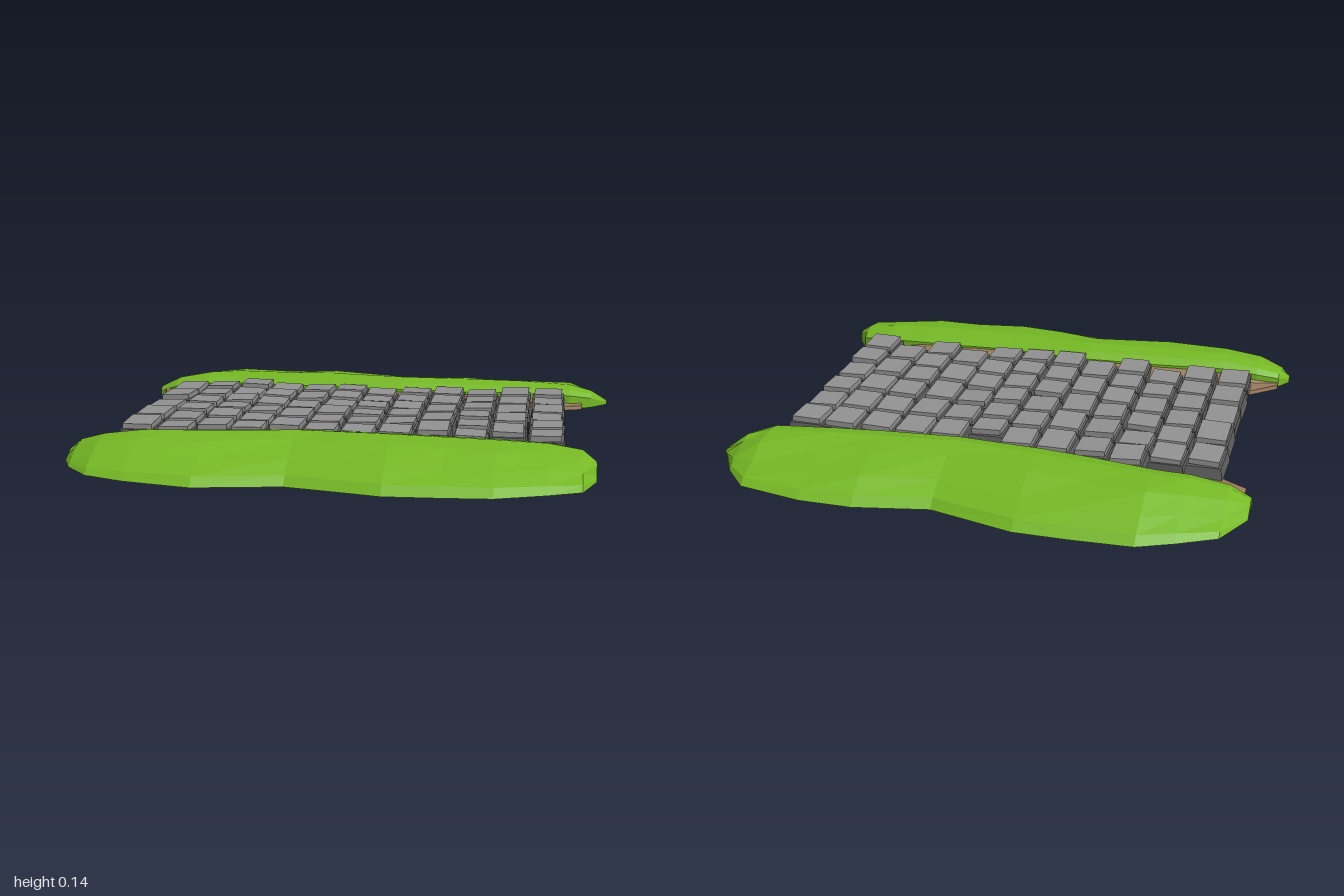
import * as THREE from 'three';

let seed = 7;
const rand = () => (seed = (seed * 16807) % 2147483647) / 2147483647;
const jitter = (a) => (rand() * 2 - 1) * a;

const grass = new THREE.MeshStandardMaterial({ color: 0x75b824, name: 'grass green' });
const dirt = new THREE.MeshStandardMaterial({ color: 0x987a5a, name: 'dirt brown' });
const stone = new THREE.MeshStandardMaterial({ color: 0x929292, name: 'stone grey' });
const darkStone = new THREE.MeshStandardMaterial({ color: 0x626262, name: 'dark stone grey' });

function facet(geometry) {
  const g = geometry.index ? geometry.toNonIndexed() : geometry;
  g.computeVertexNormals();
  return g;
}

// Closed skin over rings of [x, y, z] points running along +x
function loft(rings) {
  const n = rings[0].length, last = rings.length - 1, pos = [];
  const tri = (a, b, c) => pos.push(...a, ...b, ...c);
  for (let i = 0; i < last; i++) {
    for (let j = 0; j < n; j++) {
      const k = (j + 1) % n, A = rings[i], B = rings[i + 1];
      tri(A[j], B[j], B[k]);
      tri(A[j], B[k], A[k]);
    }
  }
  for (let j = 1; j < n - 1; j++) {
    tri(rings[0][0], rings[0][j], rings[0][j + 1]);
    tri(rings[last][0], rings[last][j + 1], rings[last][j]);
  }
  const g = new THREE.BufferGeometry();
  g.setAttribute('position', new THREE.Float32BufferAttribute(pos, 3));
  return facet(g);
}

// Grass stations: [x, inner distance, outer distance, crest height]
const frontBank = [
  [-1, .6, .67, .05], [-.96, .54, .76, .085], [-.87, .515, .85, .11], [-.72, .51, .89, .13],
  [-.47, .485, .93, .132], [-.15, .465, .87, .137], [.02, .475, .91, .138], [.2, .49, .955, .14],
  [.4, .49, .95, .134], [.58, .495, .945, .13], [.76, .505, .895, .122], [.88, .53, .86, .105], [.93, .61, .72, .07],
];
const backBank = [
  [-.98, .58, .7, .06], [-.9, .555, .85, .1], [-.76, .55, .91, .125], [-.63, .55, .96, .132],
  [-.4, .51, .96, .135], [-.2, .49, .955, .14], [.12, .465, .865, .137], [.4, .47, .92, .132],
  [.6, .485, .92, .128], [.84, .5, .88, .115], [.93, .55, .78, .09], [1, .63, .655, .04],
];

// Dirt stations: [x, inner distance, distance where it meets the grass, height there]
const frontDirt = [
  [-.96, .5, .545, .055], [-.87, .42, .52, .07], [-.6, .25, .5, .09], [-.3, .13, .48, .095], [.05, .1, .48, .095],
  [.35, .14, .49, .095], [.6, .28, .5, .09], [.76, .44, .52, .075], [.83, .51, .55, .06],
];
const backDirt = [
  [-.95, .5, .56, .06], [-.87, .45, .555, .075], [-.7, .3, .55, .09], [-.5, .12, .53, .095], [-.2, .1, .49, .095],
  [.1, .1, .47, .095], [.3, .14, .47, .095], [.6, .34, .49, .085], [.8, .44, .5, .075], [.89, .475, .53, .06],
];

// Low-poly grassy mound; side is +1 for the front, -1 for the back
function bankGeometry(stations, side) {
  return loft(stations.map(([x, zin, zout, h]) => {
    const lift = .022 * x ** 4, d = zout - zin;
    const ring = [
      [0, .025], [0, h * .72], [.08, h * .9], [.24, h], [.5, h * .87 + jitter(.006)],
      [.76, h * .55 + jitter(.008)], [.93, h * .25 + lift * .5], [1, lift], [.6, lift + .012],
    ].map(([t, y], i) => {
      const wobble = i > 3 && i < 6 ? jitter(.018) : 0;
      return [x, Math.max(y, lift), side * (zin + t * d + wobble)];
    });
    return side > 0 ? ring.reverse() : ring;
  }));
}

// Thin dirt wedge from under the grass to a lens-shaped edge below the paving
function dirtGeometry(stations, side) {
  return loft(stations.map(([x, inner, zin, y]) => {
    const shoulder = inner + (zin - inner) * .85;
    const ring = [
      [inner, .03], [inner + .004, .046], [shoulder, y * .72 + jitter(.004)],
      [zin + .012, y], [zin + .07, y * .8], [zin + .07, .024], [shoulder, .041 + jitter(.004)],
    ].map(([z, h]) => [x, h, side * z]);
    return side > 0 ? ring.reverse() : ring;
  }));
}

// Block standing on y = 0, narrowed at the top by inset, with a sloping top
function taperedBlock(w, h, d, inset, tiltX = 0, tiltZ = 0) {
  const g = new THREE.BoxGeometry(w, h, d).translate(0, h / 2, 0);
  const p = g.attributes.position;
  for (let i = 0; i < p.count; i++) {
    const x = p.getX(i), y = p.getY(i), z = p.getZ(i);
    if (y > 0) p.setXYZ(i, x - Math.sign(x) * inset, y + x * tiltX + z * tiltZ, z - Math.sign(z) * inset);
  }
  return facet(g);
}

// Paving columns: [back end, front end, number of stones]
const columns = [
  [-.47, .47, 5], [-.49, .48, 6], [-.54, .41, 6], [-.49, .48, 6], [-.49, .42, 5], [-.49, .49, 6],
  [-.41, .49, 6], [-.47, .48, 6], [-.49, .42, 5], [-.47, .49, 6], [-.49, .41, 5], [-.48, .49, 6],
];

export function createModel() {
  seed = 7;
  const model = new THREE.Group();
  model.name = 'pavedRoadSection';
  const add = (parent, name, geometry, material) => {
    const mesh = new THREE.Mesh(geometry, material);
    mesh.name = name;
    parent.add(mesh);
    return mesh;
  };

  add(model, 'frontGrassBank', bankGeometry(frontBank, 1), grass);
  add(model, 'backGrassBank', bankGeometry(backBank, -1), grass);
  add(model, 'frontDirt', dirtGeometry(frontDirt, 1), dirt);
  add(model, 'backDirt', dirtGeometry(backDirt, -1), dirt);

  // Each paving stone has a dark flared foot and a lighter bevelled cap
  columns.forEach(([z0, z1, count], i) => {
    const pitch = (z1 - z0) / count;
    for (let k = 0; k < count; k++) {
      const paver = new THREE.Group();
      paver.name = 'pavingStone';
      const footHeight = .052 + jitter(.005);
      add(paver, 'stoneFoot', taperedBlock(.143, footHeight, pitch * 1.01, .007), darkStone);
      const cap = taperedBlock(.129, .021, pitch * 1.01 - .014, .008, jitter(.04), jitter(.035));
      add(paver, 'stoneCap', cap, stone).position.y = footHeight;
      paver.position.set(-.79 + i * .14 + jitter(.003), .042 + jitter(.002), z0 + (k + .5) * pitch);
      paver.rotation.y = jitter(.025);
      model.add(paver);
    }
  });
  return model;
}
